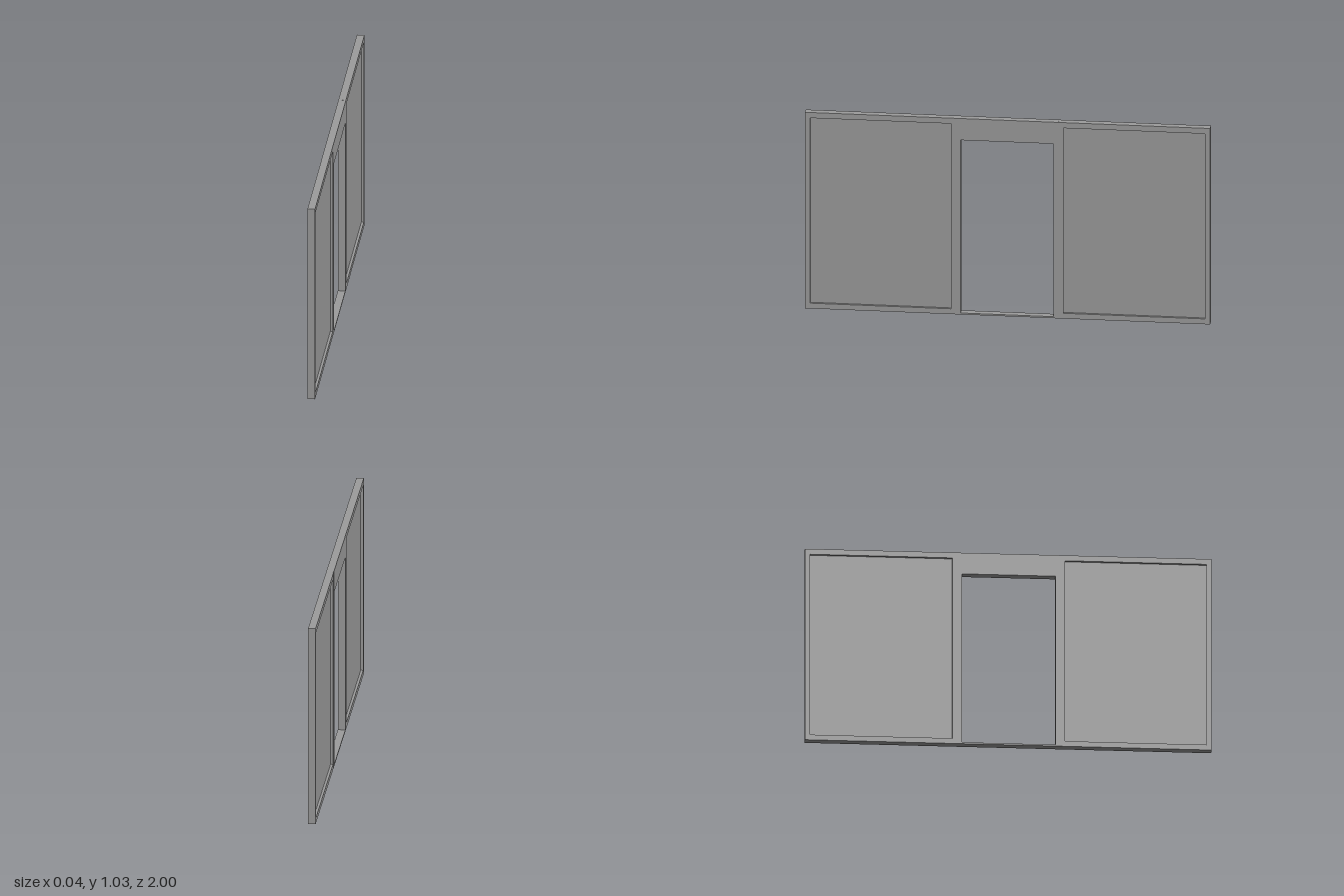
import * as THREE from 'three';

const material = new THREE.MeshStandardMaterial({ color: 0x9c9c9c, flatShading: true });
const HEIGHT = 1.034, THICK = 0.037;

// Rectangle path in (z, y)
function rect(path, z0, z1, y0, y1) {
  path.moveTo(z0, y0);
  path.lineTo(z1, y0);
  path.lineTo(z1, y1);
  path.lineTo(z0, y1);
  path.closePath();
  return path;
}

// Slab in the z-y plane with one rectangular hole
function framedSlab(name, outer, hole) {
  const shape = rect(new THREE.Shape(), ...outer);
  shape.holes.push(rect(new THREE.Path(), ...hole));
  const geo = new THREE.ExtrudeGeometry(shape, { depth: THICK, bevelEnabled: false });
  geo.translate(0, 0, -THICK / 2);
  geo.rotateY(-Math.PI / 2); // shape x becomes +z
  const mesh = new THREE.Mesh(geo, material);
  mesh.name = name;
  return mesh;
}

// Box spanning z0..z1 and y0..y1, centred on x
function slab(name, thick, z0, z1, y0, y1) {
  const mesh = new THREE.Mesh(new THREE.BoxGeometry(thick, y1 - y0, z1 - z0), material);
  mesh.name = name;
  mesh.position.set(0, (y0 + y1) / 2, (z0 + z1) / 2);
  return mesh;
}

// Wall section: a rim around a thin panel recessed on both faces
function wallSection(name, z0, z1, hole) {
  const group = new THREE.Group();
  group.name = name;
  group.add(framedSlab('rim', [z0, z1, 0, HEIGHT], hole));
  group.add(slab('recessedPanel', 0.012, ...hole));
  return group;
}

export function createModel() {
  const model = new THREE.Group();
  model.name = 'partitionWall';

  // Two solid sections either side of the doorway
  model.add(wallSection('frontSection', 0.255, 1, [0.28, 0.975, 0.028, 1.005]));
  model.add(wallSection('rearSection', -1, -0.25, [-0.975, -0.275, 0.028, 1.005]));

  // Doorway: jambs, header and low sill
  model.add(framedSlab('doorway', [-0.25, 0.255, 0, HEIGHT], [-0.227, 0.232, 0.008, 0.92]));

  // Barely raised joint strip between the doorway and the rear section
  model.add(slab('jointStrip', THICK + 0.001, -0.251, -0.249, 0, HEIGHT + 0.0005));
  return model;
}
